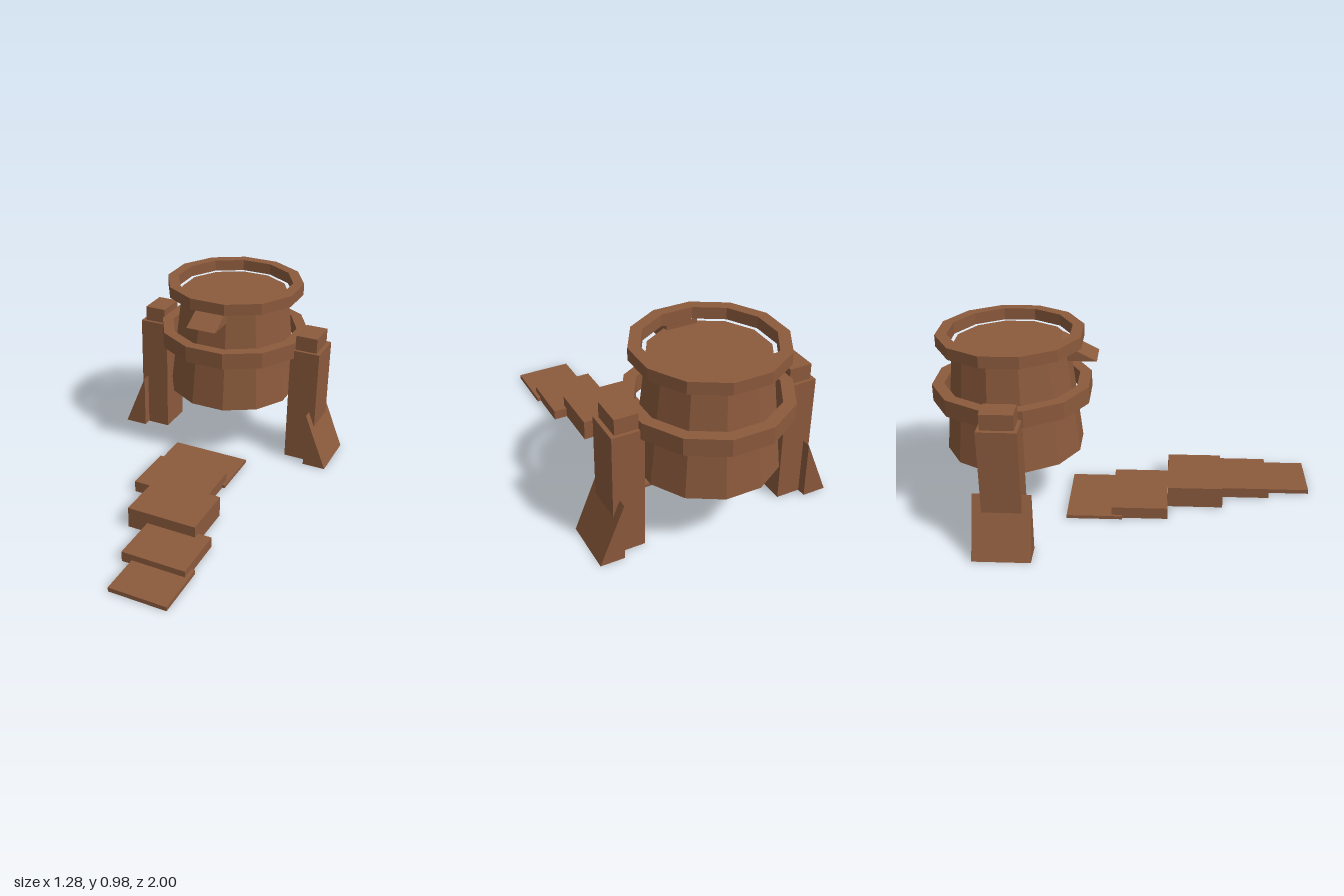
import * as THREE from 'three';

const brown = new THREE.MeshStandardMaterial({ color: 0x8b5a3c, flatShading: true });
brown.name = 'brown';

const SIDES = 12;
const TURN = Math.PI / SIDES; // flat sides face the axes
const radius = (apothem) => apothem / Math.cos(TURN);
const CENTRE_Z = -0.598;

function add(parent, name, geometry) {
  const mesh = new THREE.Mesh(geometry, brown);
  mesh.name = name;
  parent.add(mesh);
  return mesh;
}

// Box given by its limits on each axis
function block(parent, name, x0, x1, y0, y1, z0, z1) {
  const mesh = add(parent, name, new THREE.BoxGeometry(x1 - x0, y1 - y0, z1 - z0));
  mesh.position.set((x0 + x1) / 2, (y0 + y1) / 2, (z0 + z1) / 2);
  return mesh;
}

// Twelve-sided hoop with a rectangular section
function hoop(parent, name, inner, outer, y0, y1) {
  const a = radius(inner), b = radius(outer);
  const profile = [[a, y0], [b, y0], [b, y1], [a, y1], [a, y0]]
    .map(([x, y]) => new THREE.Vector2(x, y));
  return add(parent, name, new THREE.LatheGeometry(profile, SIDES, TURN));
}

// Triangular prism, extruded along its own z
function wedge(points, depth) {
  const shape = new THREE.Shape(points.map(([x, y]) => new THREE.Vector2(x, y)));
  return new THREE.ExtrudeGeometry(shape, { depth, bevelEnabled: false })
    .translate(0, 0, -depth / 2);
}

export function createModel() {
  const model = new THREE.Group();
  model.name = 'vatAndSteps';

  // Tapered vat with its hoops and pouring lip
  const vat = new THREE.Group();
  vat.name = 'vat';
  vat.position.z = CENTRE_Z;
  model.add(vat);
  const barrel = add(vat, 'barrel', new THREE.CylinderGeometry(
    radius(0.29), radius(0.35), 0.575, SIDES, 1, false, TURN));
  barrel.position.y = 0.345 + 0.575 / 2;
  hoop(vat, 'middleHoop', 0.342, 0.403, 0.625, 0.715);
  hoop(vat, 'rimHoop', 0.31, 0.368, 0.92, 0.982);
  const spout = add(vat, 'spout',
    wedge([[-0.445, 0.847], [-0.26, 0.847], [-0.26, 0.945]], 0.166));
  spout.rotation.y = Math.PI / 2;

  // Posts with caps and sloping buttresses, mirrored left and right
  for (const side of [1, -1]) {
    const support = new THREE.Group();
    support.name = side > 0 ? 'leftSupport' : 'rightSupport';
    support.position.z = CENTRE_Z;
    support.rotation.y = side > 0 ? 0 : Math.PI;
    model.add(support);
    block(support, 'post', 0.382, 0.547, 0, 0.67, -0.1, 0.1);
    block(support, 'postCap', 0.404, 0.525, 0.67, 0.753, -0.083, 0.083);
    add(support, 'buttress', wedge([[0.512, 0], [0.64, 0], [0.512, 0.314]], 0.296));
  }

  // Winding row of slabs: x limits, height, z limits
  const slabs = [
    [0.085, 0.393, 0.023, 0.705, 1.0],
    [0.03, 0.373, 0.056, 0.48, 0.776],
    [-0.08, 0.298, 0.115, 0.22, 0.516],
    [-0.208, 0.202, 0.063, -0.077, 0.219],
    [-0.223, 0.216, 0.018, -0.317, -0.022],
  ];
  slabs.forEach(([x0, x1, h, z0, z1], i) =>
    block(model, `step${i + 1}`, x0, x1, 0, h, z0, z1));

  return model;
}
